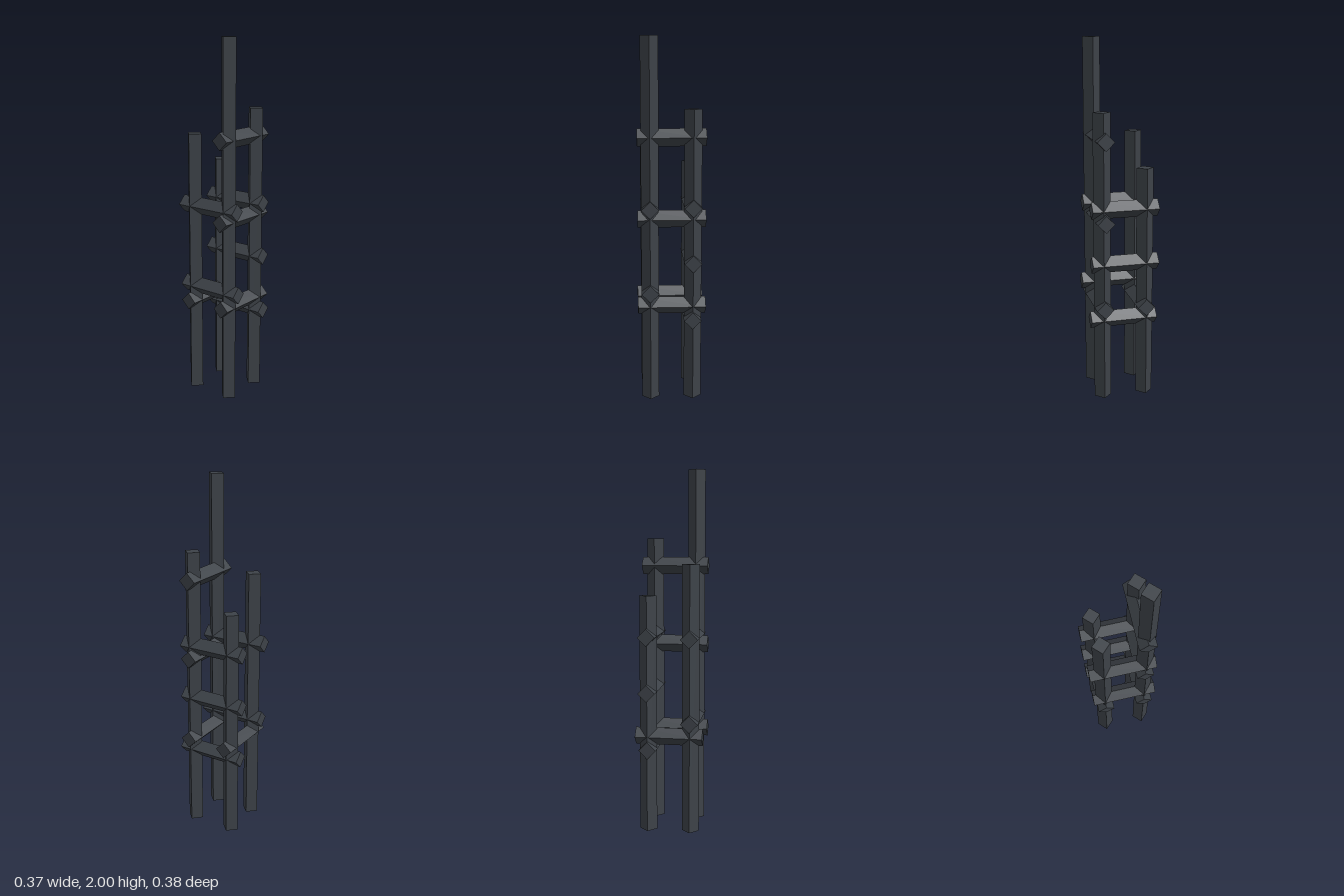
import * as THREE from 'three';

const HALF_DIAGONAL = 0.048;

export function createModel() {
  const group = new THREE.Group();
  const charcoal = new THREE.MeshStandardMaterial({ color: 0x3d4248 });
  charcoal.name = 'charcoal';

  // square bar along an axis, turned 45 degrees so its edges face outward
  function bar(name, axis, length, x, y, z) {
    const side = HALF_DIAGONAL * Math.SQRT2;
    const geometry = new THREE.BoxGeometry(side, length, side);
    geometry.rotateY(Math.PI / 4);
    if (axis === 'x') geometry.rotateZ(Math.PI / 2);
    if (axis === 'z') geometry.rotateX(Math.PI / 2);
    const mesh = new THREE.Mesh(geometry, charcoal);
    mesh.name = name;
    mesh.position.set(x, y, z);
    group.add(mesh);
  }

  // four posts of different heights: x, z, height
  const posts = {
    frontRightPost: [-0.12, 0.123, 2],
    frontLeftPost: [0.115, 0.123, 1.62],
    backRightPost: [-0.12, -0.114, 1.485],
    backLeftPost: [0.115, -0.118, 1.315],
  };
  for (const [name, [x, z, h]] of Object.entries(posts)) bar(name, 'y', h, x, h / 2, z);

  // rungs across the front and back: y, z
  for (const [y, z] of [[1.47, 0.114], [1.027, 0.114], [0.538, 0.12]]) {
    bar('frontRung', 'x', 0.373, -0.001, y, z);
  }
  bar('backRung', 'x', 0.373, -0.001, 0.535, -0.113);

  // rungs along both sides: x, y, z
  for (const [x, y, z] of [[-0.12, 1.085, -0.005], [-0.12, 0.62, 0.005]]) {
    bar('rightSideRung', 'z', 0.373, x, y, z);
  }
  for (const [x, y, z] of [[0.115, 1.092, -0.004], [0.115, 0.785, -0.004], [0.112, 0.465, 0.005]]) {
    bar('leftSideRung', 'z', 0.373, x, y, z);
  }
  return group;
}
